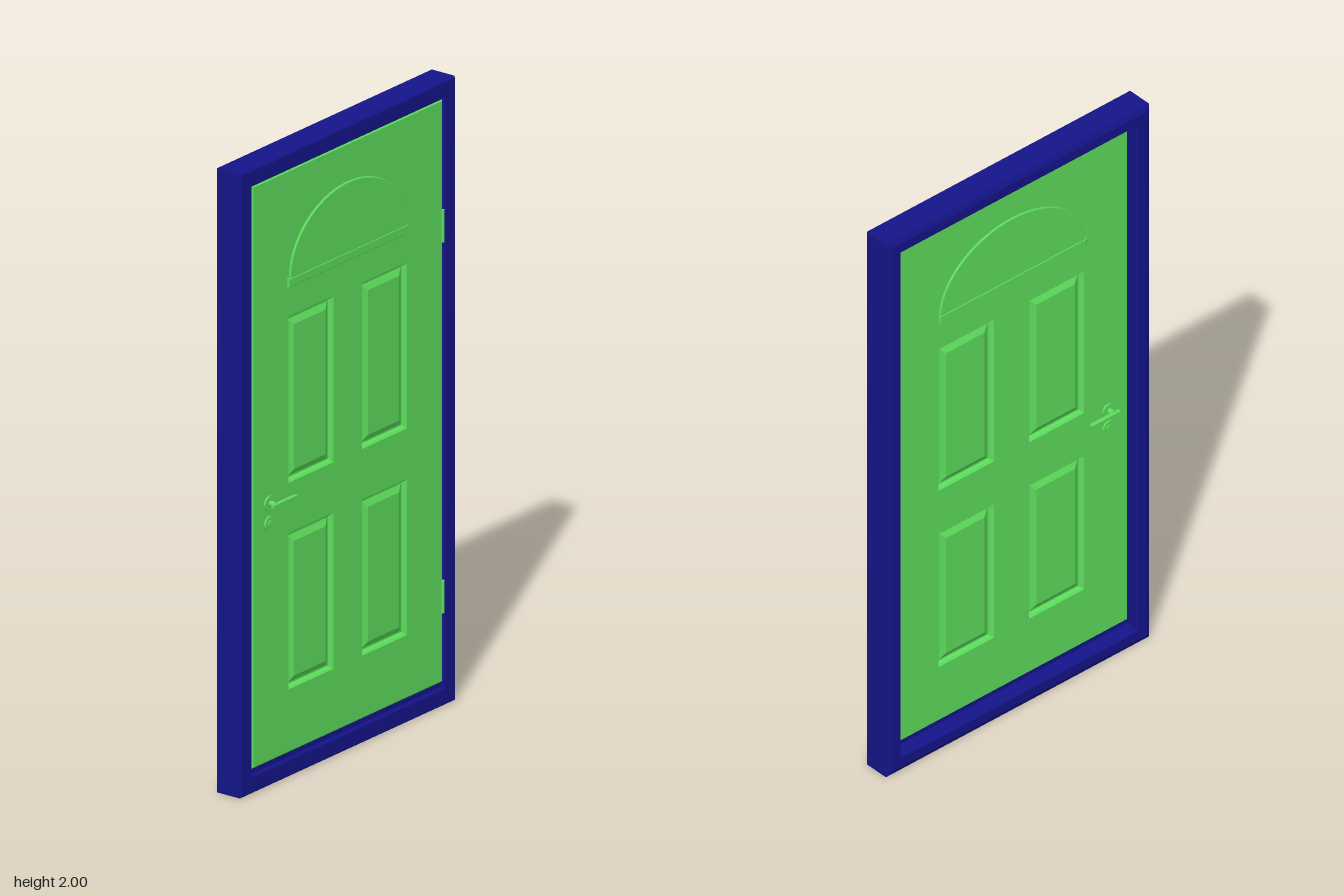
import * as THREE from 'three';

const green = new THREE.MeshStandardMaterial({ color: 0x5cdd5c });
const blue = new THREE.MeshStandardMaterial({ color: 0x141489 });
const grey = new THREE.MeshStandardMaterial({ color: 0xcccccc });

function add(parent, name, geometry, material, x = 0, y = 0, z = 0) {
  const mesh = new THREE.Mesh(geometry, material);
  mesh.name = name;
  mesh.position.set(x, y, z);
  parent.add(mesh);
  return mesh;
}

// Mitred moulding: sweeps a profile of [inset, z] points round a rectangle
function rectMoulding(x0, x1, y0, y1, profile, cap) {
  const pos = [];
  const loop = ([i, z]) => [[x0 + i, y0 + i, z], [x1 - i, y0 + i, z], [x1 - i, y1 - i, z], [x0 + i, y1 - i, z]];
  const quad = (a, b, c, d) => pos.push(...a, ...b, ...c, ...a, ...c, ...d);
  for (let p = 0; p < profile.length - 1; p++) {
    const outer = loop(profile[p]), inner = loop(profile[p + 1]);
    for (let k = 0; k < 4; k++) {
      const n = (k + 1) % 4;
      quad(outer[k], outer[n], inner[n], inner[k]);
    }
  }
  if (cap) quad(...loop(profile[profile.length - 1]));
  const geometry = new THREE.BufferGeometry();
  geometry.setAttribute('position', new THREE.Float32BufferAttribute(pos, 3));
  geometry.computeVertexNormals();
  return geometry;
}

// Closed outlines, usable as shapes or as holes
function rectOutline(x0, x1, y0, y1, Type = THREE.Path) {
  return new Type([[x0, y0], [x1, y0], [x1, y1], [x0, y1]].map(p => new THREE.Vector2(...p)));
}
function archOutline(rx, ry, y, foot = 0, Type = THREE.Path) {
  const path = new Type();
  path.moveTo(rx, y - foot);
  path.lineTo(rx, y);
  path.absellipse(0, y, rx, ry, 0, Math.PI, false, 0);
  path.lineTo(-rx, y - foot);
  path.closePath();
  return path;
}

// Extrusion centred on z = 0 with chamfered edges inside the outline
function slab(shape, depth, chamfer) {
  const geometry = new THREE.ExtrudeGeometry(shape, {
    depth: depth - 2 * chamfer, bevelEnabled: true, bevelThickness: chamfer,
    bevelSize: chamfer, bevelOffset: -chamfer, bevelSegments: 1, curveSegments: 32,
  });
  return geometry.translate(0, 0, -depth / 2 + chamfer);
}

export function createModel() {
  const model = new THREE.Group();
  model.name = 'panelledDoor';

  // Frame with a rebate at the front and chamfered outer edges
  add(model, 'frame', rectMoulding(-0.528, 0.528, 0, 2, [
    [0, 0.028], [0.005, 0.033], [0.052, 0.033], [0.056, 0.029], [0.056, -0.06],
    [0.05, -0.067], [0.017, -0.067], [0, -0.058], [0, 0.028],
  ], false), blue);
  add(model, 'threshold', new THREE.BoxGeometry(0.944, 0.024, 0.04), blue, 0, 0.065, 0);

  // Door leaf with openings for the panels and the fanlight
  const panels = [];
  for (const [x0, x1] of [[-0.286, -0.076], [0.076, 0.286]])
    for (const [y0, y1] of [[0.285, 0.773], [0.947, 1.467]]) panels.push([x0, x1, y0, y1]);
  const springY = 1.595;
  const leaf = rectOutline(-0.47, 0.47, 0.075, 1.944, THREE.Shape);
  for (const p of panels) leaf.holes.push(rectOutline(...p));
  leaf.holes.push(archOutline(0.278, 0.214, springY, 0.01));
  add(model, 'doorLeaf', slab(leaf, 0.06, 0.006), green);

  // Raised panels on both faces
  for (const side of ['front', 'back']) {
    const face = new THREE.Group();
    face.name = side + 'Panels';
    for (const p of panels)
      add(face, 'raisedPanel', rectMoulding(...p, [[0, 0.024], [0.004, 0.016], [0.009, 0.016], [0.028, 0.026]], true), green);
    if (side === 'back') face.rotation.y = Math.PI;
    model.add(face);
  }

  // Fanlight: outer surround, small inner arch, glazing bars and glass
  const fanlight = new THREE.Group();
  fanlight.name = 'fanlight';
  model.add(fanlight);
  const surround = archOutline(0.29, 0.226, springY, 0, THREE.Shape);
  surround.holes.push(archOutline(0.272, 0.206, springY));
  add(fanlight, 'surround', slab(surround, 0.072, 0.003), green);
  add(fanlight, 'baseBar', slab(rectOutline(-0.298, 0.292, 1.567, 1.597, THREE.Shape), 0.072, 0.003), green);
  const innerArch = archOutline(0.094, 0.062, springY, 0, THREE.Shape);
  innerArch.holes.push(archOutline(0.078, 0.042, springY));
  add(fanlight, 'innerArch', slab(innerArch, 0.068, 0.003), green);
  for (const s of [-1, 0, 1]) {
    const from = new THREE.Vector2(s * 0.07, s ? 1.63 : 1.645);
    const to = new THREE.Vector2(s * 0.21, s ? 1.745 : 1.812);
    const mid = from.clone().lerp(to, 0.5);
    const bar = add(fanlight, 'glazingBar', slab(rectOutline(-0.008, 0.008, -0.5 * from.distanceTo(to),
      0.5 * from.distanceTo(to), THREE.Shape), 0.066, 0.003), green, mid.x, mid.y);
    bar.rotation.z = to.sub(from).angle() - Math.PI / 2;
  }
  add(fanlight, 'glass', slab(archOutline(0.28, 0.215, springY, 0.01, THREE.Shape), 0.016, 0.001), grey);

  // Lever handle and lock rose on both faces
  for (const side of [1, -1]) {
    const handle = new THREE.Group();
    handle.name = side > 0 ? 'frontHandle' : 'backHandle';
    handle.position.set(-0.388, 0.905, 0);
    if (side < 0) handle.rotation.x = Math.PI;
    const disc = (name, r, z0, z1, y) =>
      add(handle, name, new THREE.CylinderGeometry(r, r, z1 - z0, 24).rotateX(Math.PI / 2), green, 0, y, (z0 + z1) / 2);
    disc('handleRose', 0.024, 0.028, 0.036, 0);
    disc('handleShank', 0.009, 0.03, 0.056, 0);
    disc('lockRose', 0.024, 0.028, 0.036, -0.065 * side);
    disc('lockBarrel', 0.012, 0.03, 0.039, -0.065 * side);
    const lever = new THREE.Shape([[-0.02, 0.053], [0.093, 0.053], [0.1, 0.066], [-0.02, 0.066]]
      .map(([x, z]) => new THREE.Vector2(x, -z)));
    add(handle, 'lever', new THREE.ExtrudeGeometry(lever, { depth: 0.011, bevelEnabled: false })
      .translate(0, 0, -0.0055).rotateX(-Math.PI / 2), green);
    model.add(handle);
  }

  // Hinge knuckles
  for (const y of [0.35, 1.538])
    add(model, 'hinge', new THREE.CylinderGeometry(0.006, 0.006, 0.104, 16), green, 0.466, y, 0.03);

  return model;
}
